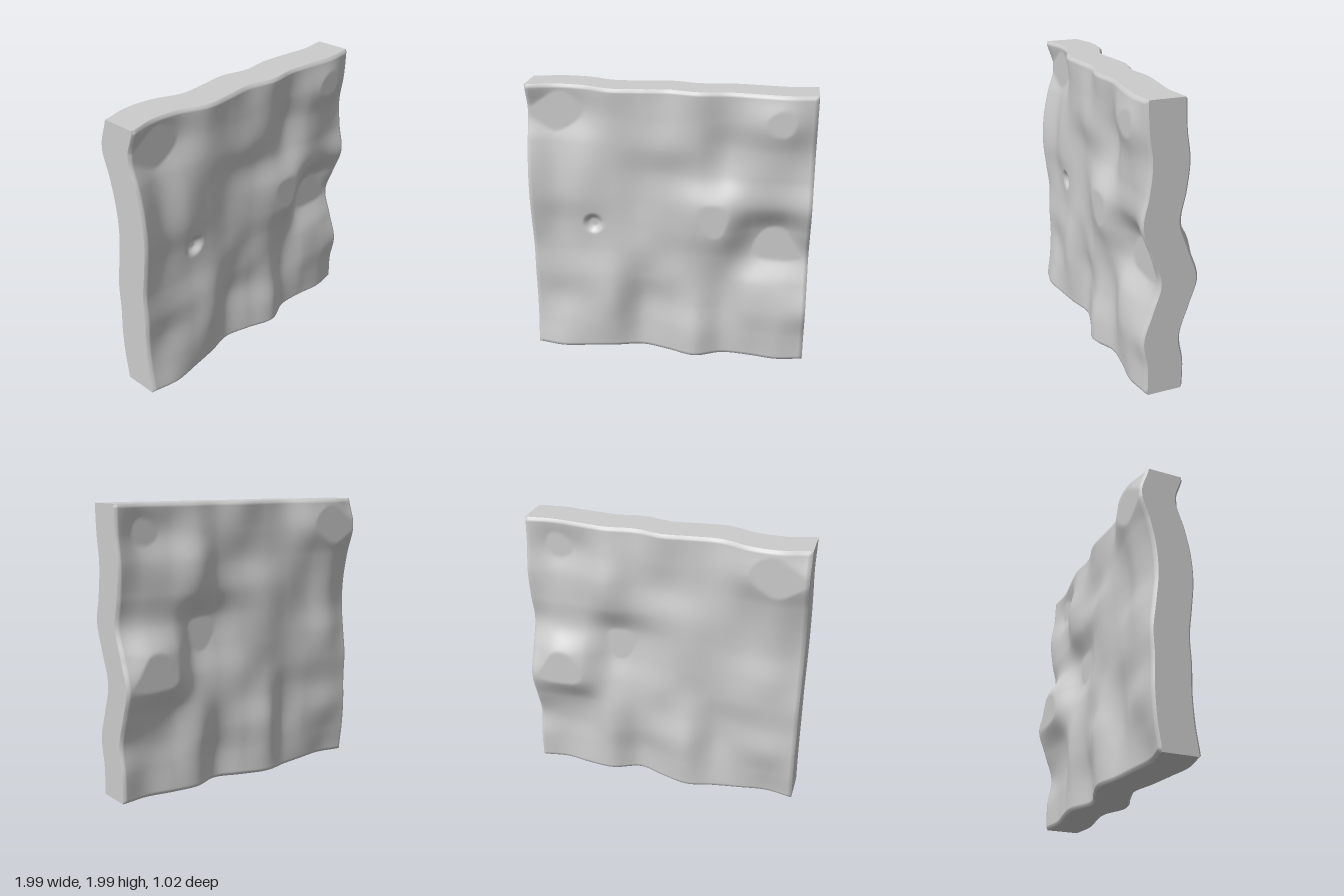
import * as THREE from 'three';

const WIDTH = 1.985, HEIGHT = 1.99, HALF = 0.137, BEVEL = 0.016;

// Coarse relief in hundredths: rows from bottom to top, columns from right to left side of the slab
const RELIEF = [
  [4, 7.5, 5, 2, -2, 3, 9.2, 2, 3, 6, 3.5],
  [1.5, 4, 4.5, 4, -3, 2.5, 8.7, 1.5, 4.5, 6.5, 3.5],
  [0.5, 0, 3, 6, -3.5, 0.5, 5, 0, 6, 7, 6.5],
  [1, 1, 3, 5.5, 0, 2, 3.5, 0.5, 3.5, 2.5, 0.5],
  [0.5, -0.5, 0.5, 3, 2, 1.5, 4.5, 3.5, -5, -6.5, -5],
  [3, -1, 1, 2, 1, 3, 8, 9, -3, -6, 1.5],
  [5, 1, 3.5, 2, 0, 3.5, 8.7, 9.2, 5, 4, 8],
  [4, -0.5, 3, 1.5, 0, 2, 3, 0.5, 4.5, 4.5, 4.5],
  [0, -3.5, 0, 2, 3, 5, 3.5, -2, 4.5, 6, 2.5],
  [-5.5, -8, -5, 2, 3, 3, 4, 1.5, 7.8, 10.5, 5],
  [0, -4.5, -3, 4, 3, 1.2, 5.5, 3.5, 5.2, 7.5, 6],
];

// Smooth cubic interpolation through evenly spaced values
function cubic(get, t) {
  const i = Math.min(9, Math.max(0, Math.floor(t))), f = t - i;
  const at = (k) => get(Math.min(10, Math.max(0, k)));
  const a = at(i - 1), b = at(i), c = at(i + 1), d = at(i + 2);
  return b + 0.5 * f * (c - a + f * (2 * a - 5 * b + 4 * c - d + f * (3 * (b - c) + d - a)));
}

// Shared offset of both faces, with flat plateaus and hollow floors
function relief(u, v) {
  const s = (u / WIDTH + 0.5) * 10, t = (v / HEIGHT + 0.5) * 10;
  const h = cubic((r) => cubic((c) => RELIEF[r][c], s), t) / 100;
  return THREE.MathUtils.clamp(h, -0.053, 0.092);
}

// Small round crater with a flat floor, on the front only
function crater(u, v) {
  const r = Math.hypot(u + 0.54, v - 0.005);
  return 0.035 * (1 - THREE.MathUtils.smoothstep(r, 0.03, 0.08));
}

function wavySlab() {
  const geo = new THREE.BoxGeometry(WIDTH, HEIGHT, 2, 132, 132, 6);
  const p = geo.attributes.position;
  for (let i = 0; i < p.count; i++) {
    const u = p.getX(i), v = p.getY(i), side = p.getZ(i);
    // Rounded rim: thickness shrinks close to the edges
    const edge = Math.min(WIDTH / 2 - Math.abs(u), HEIGHT / 2 - Math.abs(v));
    const k = Math.max(0, BEVEL - edge);
    const half = HALF - BEVEL + Math.sqrt(Math.max(0, BEVEL * BEVEL - k * k));
    const dent = side > 0.99 ? crater(u, v) : 0;
    p.setZ(i, relief(u, v) + side * half - dent);
  }
  geo.computeVertexNormals();
  return geo;
}

export function createModel() {
  const group = new THREE.Group();
  group.name = 'wavyPanel';
  const stone = new THREE.MeshStandardMaterial({ color: 0xcccccc });
  stone.name = 'plain grey';

  const slab = new THREE.Mesh(wavySlab(), stone);
  slab.name = 'slab';
  slab.position.y = HEIGHT / 2;
  slab.rotation.y = THREE.MathUtils.degToRad(20);
  group.add(slab);
  return group;
}
